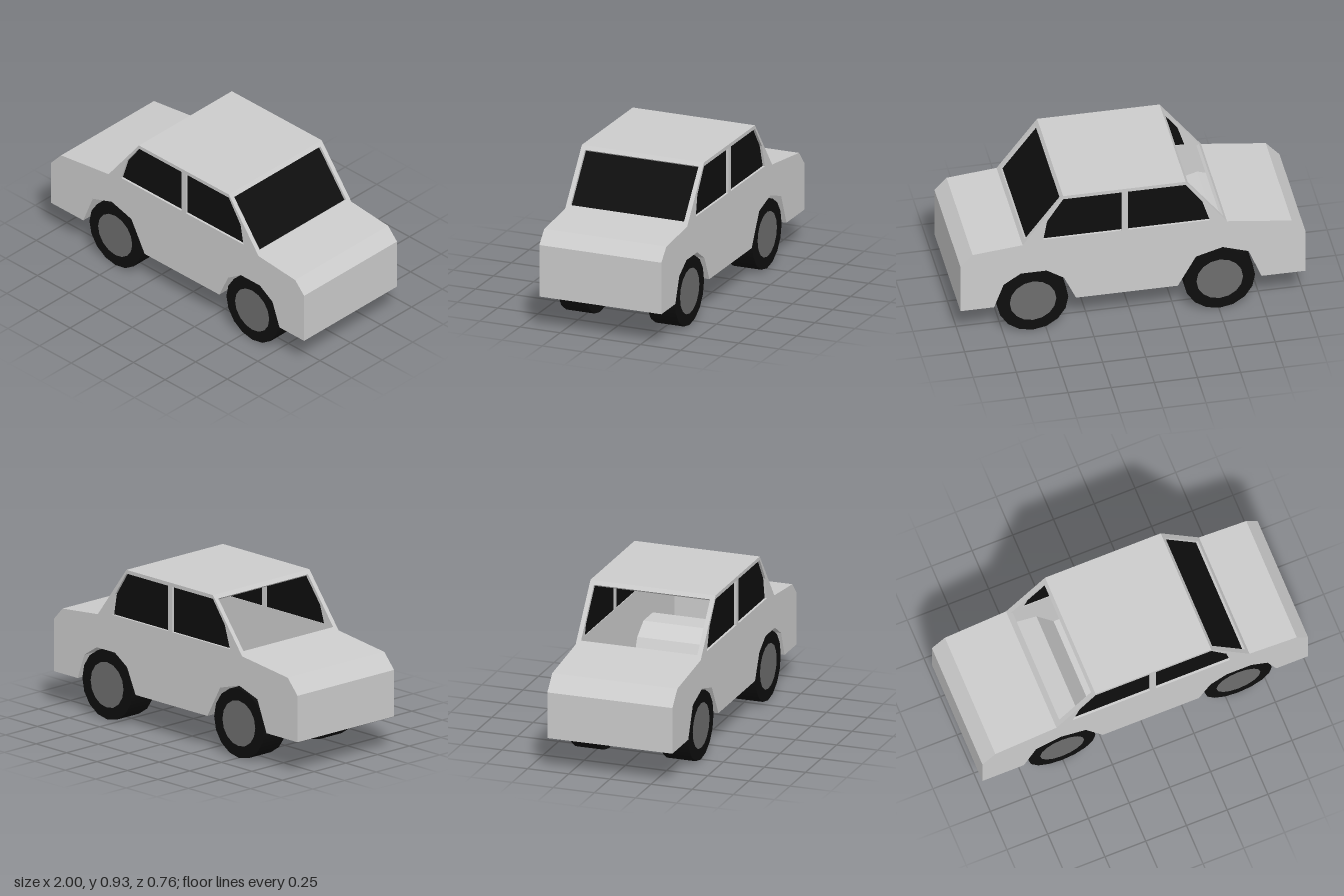
import * as THREE from 'three';

const W = 0.38;        // half width of the body
const T = 0.018;       // sheet thickness
const bodyMat = new THREE.MeshStandardMaterial({ color: 0xcccccc, side: THREE.DoubleSide, flatShading: true });
bodyMat.name = 'bodyGrey';
const blackMat = new THREE.MeshStandardMaterial({ color: 0x0e0e0e, side: THREE.DoubleSide });
blackMat.name = 'black';
const hubMat = new THREE.MeshStandardMaterial({ color: 0x6d6d6d });
hubMat.name = 'hubGrey';

// Side outline, counter-clockwise, including the wheel arches
const profile = [
  [-1, 0.2], [-0.745, 0.2], [-0.67, 0.385], [-0.52, 0.435], [-0.365, 0.39], [-0.26, 0.2],
  [0.33, 0.2], [0.4, 0.35], [0.5, 0.415], [0.65, 0.415], [0.75, 0.35], [0.805, 0.2],
  [1, 0.2], [1, 0.51], [0.93, 0.585], [0.64, 0.613], [0.405, 0.925],
  [-0.305, 0.925], [-0.545, 0.613], [-0.92, 0.565], [-1, 0.475],
];
const FRONT_SCREEN = 15, REAR_SCREEN = 17; // profile segments that hold screens
const sideWindows = [
  [[-0.445, 0.635], [0.03, 0.635], [0.03, 0.903], [-0.305, 0.903], [-0.402, 0.77]],
  [[0.065, 0.635], [0.52, 0.635], [0.498, 0.76], [0.405, 0.903], [0.065, 0.903]],
];

const points = (list) => list.map(([x, y]) => new THREE.Vector2(x, y));
const shapeOf = (list) => new THREE.Shape(points(list));

function addMesh(parent, name, geometry, material) {
  const mesh = new THREE.Mesh(geometry, material);
  mesh.name = name;
  parent.add(mesh);
  return mesh;
}

// Sheet metal panel with openings, outer face at local z = 0
function panel(outline, holes) {
  const shape = shapeOf(outline);
  holes.forEach((h) => shape.holes.push(new THREE.Path(points(h))));
  return new THREE.ExtrudeGeometry(shape, { depth: T, bevelEnabled: false }).translate(0, 0, -T);
}

// Strips across the car along the outline, leaving out the screens
function skinGeometry() {
  const pos = [], z = W - T;
  profile.forEach(([ax, ay], i) => {
    if (i === FRONT_SCREEN || i === REAR_SCREEN) return;
    const [bx, by] = profile[(i + 1) % profile.length];
    pos.push(ax, ay, z, ax, ay, -z, bx, by, -z, ax, ay, z, bx, by, -z, bx, by, z);
  });
  const geo = new THREE.BufferGeometry();
  geo.setAttribute('position', new THREE.Float32BufferAttribute(pos, 3));
  geo.computeVertexNormals();
  return geo;
}

// Sloped screen frame between a low and a high outline point
function addScreen(parent, name, low, high, sign, glazed) {
  const group = new THREE.Group();
  group.name = name;
  const slope = new THREE.Vector3(high[0] - low[0], high[1] - low[1], 0);
  const length = slope.length();
  slope.normalize();
  const across = new THREE.Vector3(0, 0, -sign);
  group.applyMatrix4(new THREE.Matrix4()
    .makeBasis(across, slope, new THREE.Vector3().crossVectors(across, slope))
    .setPosition(low[0], low[1], 0));
  const rect = (w, a, b) => [[-w, a], [w, a], [w, b], [-w, b]];
  const opening = rect(0.353, (0.635 - low[1]) / slope.y, (0.903 - low[1]) / slope.y);
  addMesh(group, name + 'Frame', panel(rect(W - T, 0, length), [opening]), bodyMat);
  if (glazed) {
    addMesh(group, name + 'Glass', new THREE.ShapeGeometry(shapeOf(opening)).translate(0, 0, -T + 0.002), blackMat);
  }
  parent.add(group);
}

// Wheel with its hub disc on the outer side
function addWheel(parent, x, side) {
  const wheel = new THREE.Group();
  wheel.name = (x > 0 ? 'front' : 'rear') + 'Wheel';
  const tyre = new THREE.CylinderGeometry(0.205, 0.205, 0.175, 16).rotateX(Math.PI / 2);
  addMesh(wheel, 'tyre', tyre, blackMat);
  addMesh(wheel, 'hub', new THREE.CircleGeometry(0.135, 16).translate(0, 0, 0.0895), hubMat);
  wheel.position.set(x, 0.205, side * 0.278);
  if (side < 0) wheel.rotation.y = Math.PI;
  parent.add(wheel);
}

export function createModel() {
  const car = new THREE.Group();
  car.name = 'car';

  addMesh(car, 'bodySkin', skinGeometry(), bodyMat);

  // Side walls with glazed windows
  for (const side of [1, -1]) {
    const shift = side > 0 ? W : -W + T;
    addMesh(car, 'sideWall', panel(profile, sideWindows).translate(0, 0, shift), bodyMat);
    for (const w of sideWindows) {
      const glass = new THREE.ShapeGeometry(shapeOf(w)).translate(0, 0, side * (W - T + 0.004));
      addMesh(car, 'sideGlass', glass, blackMat);
    }
  }

  // Glazed front screen, open rear screen
  addScreen(car, 'frontScreen', profile[15], profile[16], 1, true);
  addScreen(car, 'rearScreen', profile[18], profile[17], -1, false);

  // Wheels and axles
  for (const x of [-0.505, 0.577]) {
    const axle = new THREE.CylinderGeometry(0.08, 0.08, 0.4, 16).rotateX(Math.PI / 2);
    addMesh(car, 'axle', axle, blackMat).position.set(x, 0.205, 0);
    addWheel(car, x, 1);
    addWheel(car, x, -1);
  }
  return car;
}
